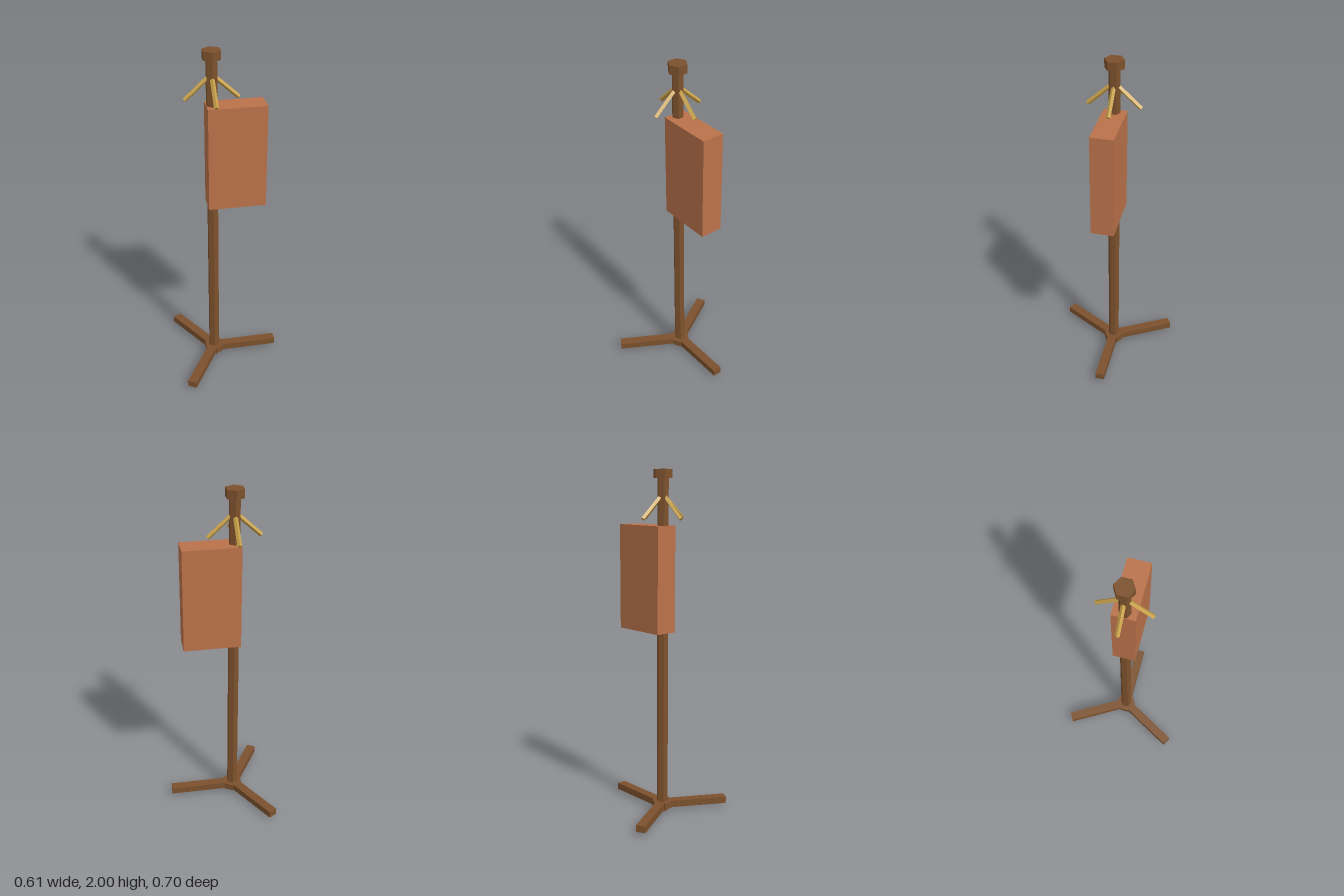
import * as THREE from 'three';

const AXIS_X = -0.086; // the pole stands off-centre

function material(name, color) {
  const m = new THREE.MeshStandardMaterial({ color, flatShading: true });
  m.name = name;
  return m;
}

function part(name, geometry, mat, x, y, z) {
  const mesh = new THREE.Mesh(geometry, mat);
  mesh.name = name;
  mesh.position.set(x, y, z);
  return mesh;
}

export function createModel() {
  const wood = material('dark wood', 0x7c512d);
  const clay = material('terracotta', 0xba724a);
  const brass = material('brass', 0xc9a24a);

  const model = new THREE.Group();
  model.name = 'coatStand';
  const stand = new THREE.Group();
  stand.name = 'stand';
  stand.position.x = AXIS_X;
  model.add(stand);

  // Hexagonal pole and cap
  stand.add(part('pole', new THREE.CylinderGeometry(0.033, 0.033, 1.96, 6), wood, 0, 0.98, 0));
  stand.add(part('cap', new THREE.CylinderGeometry(0.055, 0.055, 0.05, 6), wood, 0, 1.975, 0));

  // Three feet, each reaching a little past the pole
  const footGeometry = new THREE.BoxGeometry(0.442, 0.04, 0.054);
  for (let i = 0; i < 3; i++) {
    const pivot = new THREE.Group();
    pivot.name = 'foot';
    pivot.rotation.y = (i * Math.PI * 2) / 3;
    pivot.add(part('footBeam', footGeometry, wood, 0.167, 0.041, 0));
    stand.add(pivot);
  }

  // Four square pegs sloping down and outward
  const inner = new THREE.Vector3(0.008, 1.859, 0);
  const outer = new THREE.Vector3(0.148, 1.731, 0);
  const along = outer.clone().sub(inner);
  const pegGeometry = new THREE.CylinderGeometry(0.013, 0.013, along.length(), 4);
  const middle = inner.clone().add(outer).multiplyScalar(0.5);
  for (let i = 0; i < 4; i++) {
    const pivot = new THREE.Group();
    pivot.name = 'peg';
    pivot.rotation.y = (i * Math.PI) / 2;
    const rod = part('pegRod', pegGeometry, brass, middle.x, middle.y, 0);
    rod.rotation.z = Math.atan2(along.y, along.x) - Math.PI / 2;
    pivot.add(rod);
    stand.add(pivot);
  }

  // Hanging coat block
  model.add(part('coat', new THREE.BoxGeometry(0.331, 0.61, 0.132), clay, 0.0475, 1.385, -0.001));

  return model;
}
